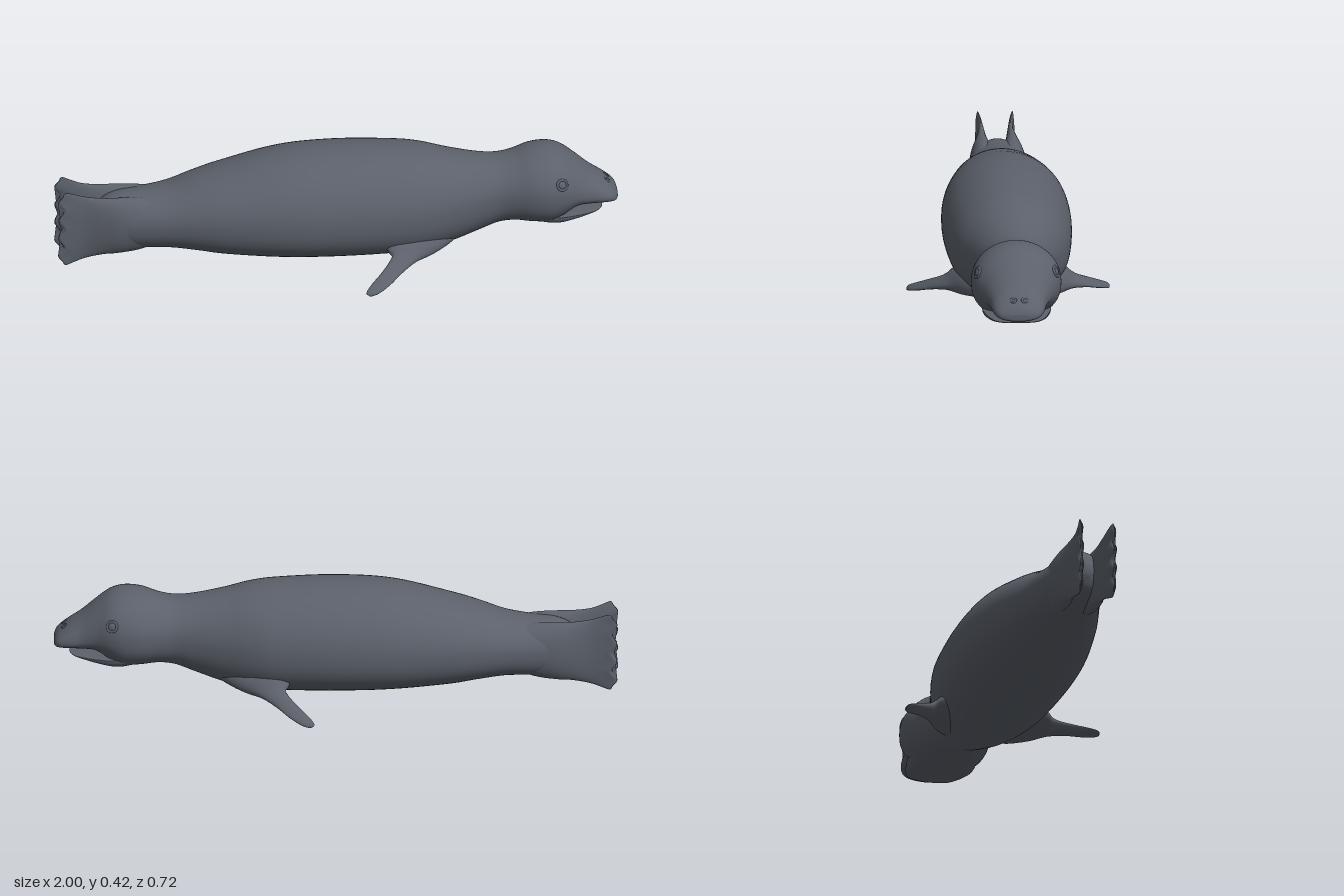
import * as THREE from 'three';

const skin = new THREE.MeshStandardMaterial({ color: 0x5b606a });
skin.name = 'slate grey skin';

// Smooth closed surface through rows of section values; ring(row, angle) gives a point.
function loft(name, rows, ring, segments = 48, steps = 6) {
  const size = rows[0].length, last = rows.length - 1;
  const spline = new THREE.CubicInterpolant(rows.map((_, i) => i), rows.flat(), size, new Array(size));
  const pos = [], index = [], rings = last * steps + 1;
  for (let i = 0; i < rings; i++) {
    const row = Array.from(spline.evaluate(i / steps));
    for (let j = 0; j < segments; j++) pos.push(...ring(row, (j / segments) * Math.PI * 2));
  }
  for (let i = 0; i < rings - 1; i++) {
    for (let j = 0; j < segments; j++) {
      const k = (j + 1) % segments, a = i * segments, b = a + segments;
      index.push(a + j, b + j, b + k, a + j, b + k, a + k);
    }
  }
  // End caps
  for (const [start, end] of [[0, false], [(rings - 1) * segments, true]]) {
    const c = [0, 0, 0], centre = pos.length / 3;
    for (let j = 0; j < segments; j++) for (let n = 0; n < 3; n++) c[n] += pos[(start + j) * 3 + n] / segments;
    pos.push(...c);
    for (let j = 0; j < segments; j++) {
      const a = start + j, b = start + (j + 1) % segments;
      index.push(centre, end ? b : a, end ? a : b);
    }
  }
  // Turn the faces outward if the enclosed volume is negative
  const p = (i) => new THREE.Vector3().fromArray(pos, i * 3);
  let volume = 0;
  for (let i = 0; i < index.length; i += 3) {
    volume += p(index[i]).dot(p(index[i + 1]).cross(p(index[i + 2])));
  }
  if (volume < 0) index.reverse();
  const geometry = new THREE.BufferGeometry();
  geometry.setAttribute('position', new THREE.Float32BufferAttribute(pos, 3));
  geometry.setIndex(index);
  geometry.computeVertexNormals();
  const mesh = new THREE.Mesh(geometry, skin);
  mesh.name = name;
  return mesh;
}

// Cross-section with its own height of greatest width and a fuller underside
function bodyRing([x, bottom, middle, top, width], a) {
  const c = Math.cos(a), s = Math.sin(a);
  const power = s < 0 ? 0.86 : 1;
  const y = s < 0 ? middle - (middle - bottom) * Math.pow(-s, power) : middle + (top - middle) * s;
  return [x, y, Math.sign(c) * Math.pow(Math.abs(c), power) * width];
}

export function createModel() {
  const model = new THREE.Group();
  model.name = 'seal';

  // Body, head and upper muzzle: x, bottom, widest height, top, half width
  model.add(loft('body', [
    [-0.87, 0.16, 0.18, 0.20, 0.015],
    [-0.84, 0.11, 0.18, 0.255, 0.055],
    [-0.78, 0.085, 0.18, 0.28, 0.095],
    [-0.7, 0.077, 0.185, 0.287, 0.115],
    [-0.6, 0.077, 0.19, 0.302, 0.137],
    [-0.5, 0.065, 0.195, 0.335, 0.165],
    [-0.4, 0.05, 0.2, 0.363, 0.19],
    [-0.2, 0.034, 0.2, 0.41, 0.223],
    [0, 0.027, 0.2, 0.421, 0.23],
    [0.2, 0.025, 0.2, 0.412, 0.217],
    [0.3, 0.03, 0.205, 0.4, 0.197],
    [0.4, 0.047, 0.21, 0.375, 0.165],
    [0.5, 0.08, 0.22, 0.355, 0.136],
    [0.57, 0.106, 0.23, 0.349, 0.126],
    [0.63, 0.114, 0.235, 0.357, 0.137],
    [0.69, 0.109, 0.24, 0.376, 0.155],
    [0.75, 0.108, 0.24, 0.381, 0.16],
    [0.8, 0.13, 0.24, 0.368, 0.148],
    [0.85, 0.163, 0.225, 0.333, 0.122],
    [0.9, 0.167, 0.21, 0.29, 0.102],
    [0.95, 0.168, 0.2, 0.253, 0.092],
    [0.985, 0.169, 0.192, 0.223, 0.075],
    [0.998, 0.174, 0.187, 0.202, 0.046],
    [1, 0.183, 0.187, 0.191, 0.012],
  ], bodyRing, 64));

  // Lower jaw
  model.add(loft('lowerJaw', [
    [0.66, 0.13, 0.19, 0.2, 0.1],
    [0.72, 0.108, 0.165, 0.175, 0.118],
    [0.78, 0.104, 0.15, 0.158, 0.122],
    [0.84, 0.116, 0.148, 0.154, 0.11],
    [0.89, 0.132, 0.149, 0.154, 0.095],
    [0.925, 0.143, 0.15, 0.154, 0.075],
    [0.942, 0.148, 0.151, 0.154, 0.045],
    [0.945, 0.15, 0.151, 0.153, 0.01],
  ], bodyRing));

  for (const side of [1, -1]) {
    const label = side > 0 ? 'Front' : 'Back';

    // Fore flipper: z, x centre, y centre, half chord, half thickness
    model.add(loft('foreFlipper' + label, [
      [0.1, 0.3, 0.11, 0.15, 0.05],
      [0.15, 0.29, 0.098, 0.13, 0.044],
      [0.19, 0.265, 0.084, 0.092, 0.034],
      [0.23, 0.215, 0.068, 0.056, 0.021],
      [0.28, 0.165, 0.047, 0.041, 0.014],
      [0.32, 0.125, 0.027, 0.037, 0.01],
      [0.35, 0.094, 0.012, 0.026, 0.008],
      [0.36, 0.085, 0.006, 0.01, 0.004],
    ], ([z, x, y, chord, thick], a) => [
      x + chord * Math.cos(a),
      y + thick * Math.sin(a),
      side * (z - 0.35 * chord * Math.cos(a) * Math.min(1, (0.37 - z) * 5)),
    ], 32));

    // Hind flipper, an upright fan with a scalloped end: x, bottom, top, z centre, half thickness
    model.add(loft('hindFlipper' + label, [
      [-0.6, 0.12, 0.26, 0.05, 0.055],
      [-0.7, 0.082, 0.28, 0.05, 0.055],
      [-0.78, 0.07, 0.285, 0.054, 0.046],
      [-0.84, 0.066, 0.288, 0.054, 0.031],
      [-0.9, 0.054, 0.297, 0.052, 0.018],
      [-0.95, 0.04, 0.312, 0.056, 0.013],
      [-0.98, 0.033, 0.321, 0.061, 0.01],
      [-0.99, 0.038, 0.315, 0.062, 0.004],
    ], ([x, bottom, top, z, thick], a) => {
      const s = Math.sin(a);
      const fan = THREE.MathUtils.smoothstep(-x, 0.9, 0.99);
      return [
        x + fan * 0.01 * Math.cos(s * Math.PI * 4),
        (bottom + top) / 2 + ((top - bottom) / 2) * s,
        side * (z + thick * Math.cos(a)),
      ];
    }, 64));

    // Eye with a raised lid
    const eye = new THREE.Group();
    eye.name = 'eye' + label;
    const lid = new THREE.Mesh(new THREE.TorusGeometry(0.018, 0.005, 10, 28), skin);
    lid.name = 'eyelid';
    const ball = new THREE.Mesh(new THREE.SphereGeometry(0.015, 20, 14), skin);
    ball.name = 'eyeball';
    ball.scale.z = 0.5;
    eye.add(lid, ball);
    eye.position.set(0.79, 0.29, side * 0.139);
    eye.lookAt(1.09, 0.64, side * 1.05);
    model.add(eye);

    // Nostril rim
    const nostril = new THREE.Mesh(new THREE.TorusGeometry(0.009, 0.004, 8, 20), skin);
    nostril.name = 'nostril' + label;
    nostril.position.set(0.963, 0.239, side * 0.02);
    nostril.lookAt(1.6, 1.0, side * 0.2);
    model.add(nostril);
  }
  return model;
}
